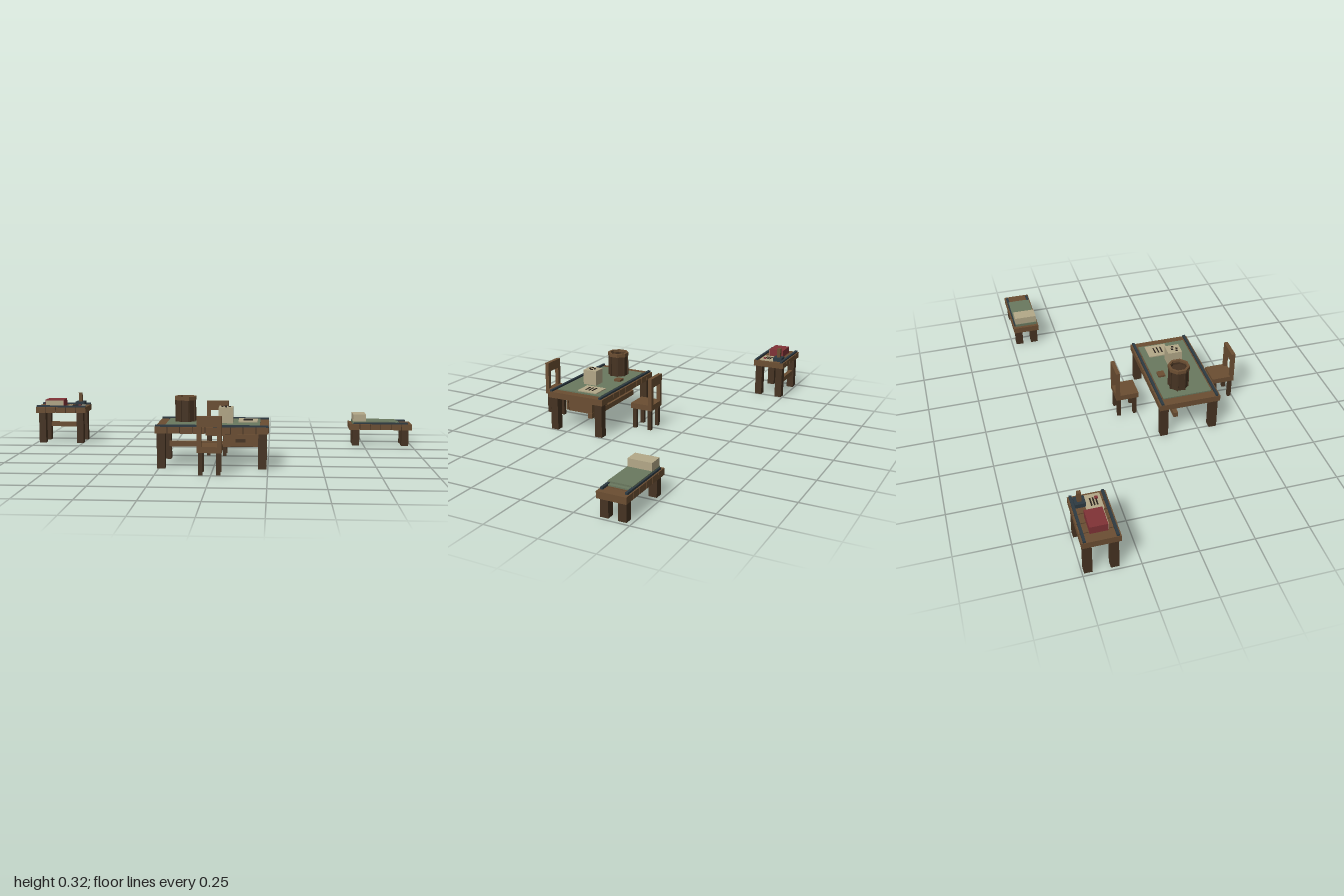
import * as THREE from 'three';

const mat = (name, hex) => {
  const m = new THREE.MeshStandardMaterial({ color: hex });
  m.name = name;
  return m;
};

export function createModel() {
  const wood = mat('wood', 0x6b4e32), dark = mat('darkWood', 0x463322);
  const cloth = mat('greenCloth', 0x6a795f), iron = mat('iron', 0x2d3a42);
  const paper = mat('parchment', 0xb3a888), red = mat('redLeather', 0x803236);
  const ink = mat('ink', 0x2a221c);
  const root = new THREE.Group();
  root.name = 'studyFurniture';

  const group = (name, parent = root) => {
    const g = new THREE.Group();
    g.name = name;
    parent.add(g);
    return g;
  };
  // box given by its limits on each axis
  const box = (parent, name, m, x0, x1, y0, y1, z0, z1) => {
    const b = new THREE.Mesh(new THREE.BoxGeometry(x1 - x0, y1 - y0, z1 - z0), m);
    b.position.set((x0 + x1) / 2, (y0 + y1) / 2, (z0 + z1) / 2);
    b.name = name;
    parent.add(b);
    return b;
  };
  // planked top with dark seams, iron edge strips and four square legs
  const plankTable = (name, o) => {
    const g = group(name);
    const { x0, x1, z0, z1, bottom, top, planks, leg, inset } = o;
    box(g, 'topCore', dark, x0 + 0.002, x1 - 0.002, bottom + 0.001, top - 0.002, z0 + 0.003, z1 - 0.003);
    const w = (x1 - x0) / planks;
    for (let i = 0; i < planks; i++) {
      box(g, 'plank', wood, x0 + i * w + (i ? 0.002 : 0), x0 + (i + 1) * w - (i < planks - 1 ? 0.002 : 0), bottom, top, z0, z1);
    }
    for (const z of [z0 + o.stripInset, z1 - o.stripInset]) {
      box(g, 'ironStrip', iron, x0 + o.stripEnd, x1 - o.stripEnd, top, top + 0.009, z - 0.006, z + 0.006);
    }
    for (const lx of [x0 + inset, x1 - inset - leg]) {
      for (const lz of [z0 + 0.008, z1 - 0.008 - leg]) {
        box(g, 'leg', dark, lx, lx + leg, 0, bottom, lz, lz + leg);
      }
    }
    return g;
  };
  // written sheet with ink lines
  const sheet = (parent, x0, x1, y, z0, z1) => {
    const g = group('writtenSheet', parent), w = x1 - x0, d = z1 - z0;
    box(g, 'sheet', paper, x0, x1, y, y + 0.005, z0, z1);
    for (let i = 0; i < 3; i++) {
      const z = z0 + d * (0.36 + i * 0.17);
      box(g, 'inkLine', ink, x0 + w * 0.25, x1 - w * 0.25, y + 0.005, y + 0.007, z - 0.003, z + 0.003);
    }
  };

  // large table
  const table = plankTable('largeTable', {
    x0: -0.267, x1: 0.253, z0: 0.05, z1: 0.35, bottom: 0.163, top: 0.193,
    planks: 9, leg: 0.038, inset: 0.009, stripInset: 0.015, stripEnd: 0.002,
  });
  box(table, 'tableCloth', cloth, -0.222, 0.212, 0.193, 0.199, 0.08, 0.32);
  box(table, 'stretcher', wood, -0.222, 0.206, 0.072, 0.097, 0.134, 0.156);
  const drawer = group('drawer', table);
  box(drawer, 'drawerBox', wood, 0.05, 0.2, 0.093, 0.163, 0.136, 0.266);
  box(drawer, 'drawerSeam', dark, 0.05, 0.2, 0.094, 0.155, 0.266, 0.268);
  box(drawer, 'drawerFront', wood, 0.045, 0.205, 0.097, 0.15, 0.268, 0.279);
  box(drawer, 'drawerHandle', dark, 0.1, 0.147, 0.115, 0.13, 0.279, 0.291);
  sheet(table, 0.11, 0.2, 0.199, 0.11, 0.215);
  box(table, 'smallBlock', wood, -0.06, -0.022, 0.199, 0.209, 0.105, 0.14);

  // eight-sided tub with a raised rim
  const tub = group('tub', table);
  tub.position.set(-0.14, 0, 0.179);
  const ring = (name, m, pts) => {
    const k = 1 / Math.cos(Math.PI / 8);
    const geo = new THREE.LatheGeometry(pts.map(([r, y]) => new THREE.Vector2(r * k, y)), 8, Math.PI / 8).toNonIndexed();
    geo.computeVertexNormals();
    const r = new THREE.Mesh(geo, m);
    r.name = name;
    tub.add(r);
  };
  ring('tubBody', dark, [[0, 0.199], [0.044, 0.199], [0.044, 0.305], [0.037, 0.305], [0.037, 0.295], [0, 0.295]]);
  ring('tubRim', wood, [[0.038, 0.3], [0.049, 0.3], [0.049, 0.317], [0.038, 0.317], [0.038, 0.3]]);
  for (let i = 0; i < 8; i++) {
    const a = i * Math.PI / 4 + Math.PI / 8, r = 0.0465;
    const s = box(tub, 'stave', dark, -0.004, 0.004, 0.199, 0.3, -0.004, 0.004);
    s.position.x = Math.sin(a) * r;
    s.position.z = Math.cos(a) * r;
    s.rotation.y = a;
  }

  // pale caddy with dark holes on its lid
  const caddy = group('caddy', table);
  box(caddy, 'caddyBody', paper, 0.02, 0.086, 0.199, 0.272, 0.18, 0.25);
  for (const [x, z] of [[0.036, 0.226], [0.05, 0.207], [0.053, 0.231], [0.07, 0.214]]) {
    box(caddy, 'caddyHole', ink, x - 0.005, x + 0.005, 0.272, 0.275, z - 0.005, z + 0.005);
  }

  // chairs on both sides of the table; dir is the side the back stands on
  const chair = (name, z, dir) => {
    const g = group(name);
    g.position.set(-0.006, 0, z);
    g.rotation.y = dir > 0 ? 0 : Math.PI;
    box(g, 'seat', wood, -0.055, 0.055, 0.101, 0.128, -0.056, 0.056);
    for (const s of [-1, 1]) {
      for (const lz of [-0.039, 0.041]) {
        box(g, 'chairLeg', dark, s * 0.04 - 0.009, s * 0.04 + 0.009, 0, 0.101, lz - 0.009, lz + 0.009);
      }
      box(g, 'backPost', wood, s * 0.045 - 0.01, s * 0.045 + 0.01, 0.128, 0.22, 0.037, 0.056);
    }
    box(g, 'backRail', wood, -0.055, 0.055, 0.217, 0.263, 0.037, 0.056);
  };
  chair('frontChair', 0.444, 1);
  chair('backChair', -0.052, -1);

  // small side table
  const side = plankTable('sideTable', {
    x0: -1, x1: -0.732, z0: -0.5, z1: -0.335, bottom: 0.163, top: 0.193,
    planks: 5, leg: 0.036, inset: 0.014, stripInset: 0.013, stripEnd: 0.002,
  });
  box(side, 'stretcher', wood, -0.955, -0.778, 0.072, 0.097, -0.485, -0.465);
  const book = group('book', side);
  box(book, 'bookCover', red, -0.957, -0.857, 0.193, 0.229, -0.456, -0.378);
  box(book, 'bookPages', paper, -0.955, -0.859, 0.196, 0.226, -0.378, -0.375);
  sheet(side, -0.835, -0.745, 0.193, -0.438, -0.364);
  box(side, 'waxSeal', red, -0.778, -0.764, 0.198, 0.203, -0.391, -0.377);
  box(side, 'inkwell', iron, -0.806, -0.757, 0.193, 0.213, -0.481, -0.434);
  box(side, 'penHolder', wood, -0.791, -0.773, 0.213, 0.261, -0.468, -0.45);

  // low cot with blanket and pillow
  const cot = plankTable('cot', {
    x0: 0.674, x1: 1, z0: -0.486, z1: -0.353, bottom: 0.084, top: 0.114,
    planks: 6, leg: 0.037, inset: 0.016, stripInset: 0.012, stripEnd: 0.022,
  });
  box(cot, 'blanket', cloth, 0.69, 0.922, 0.114, 0.128, -0.474, -0.36);
  box(cot, 'blanketFold', cloth, 0.922, 0.938, 0.114, 0.12, -0.47, -0.364);
  box(cot, 'pillow', paper, 0.693, 0.76, 0.128, 0.164, -0.473, -0.361);

  return root;
}
